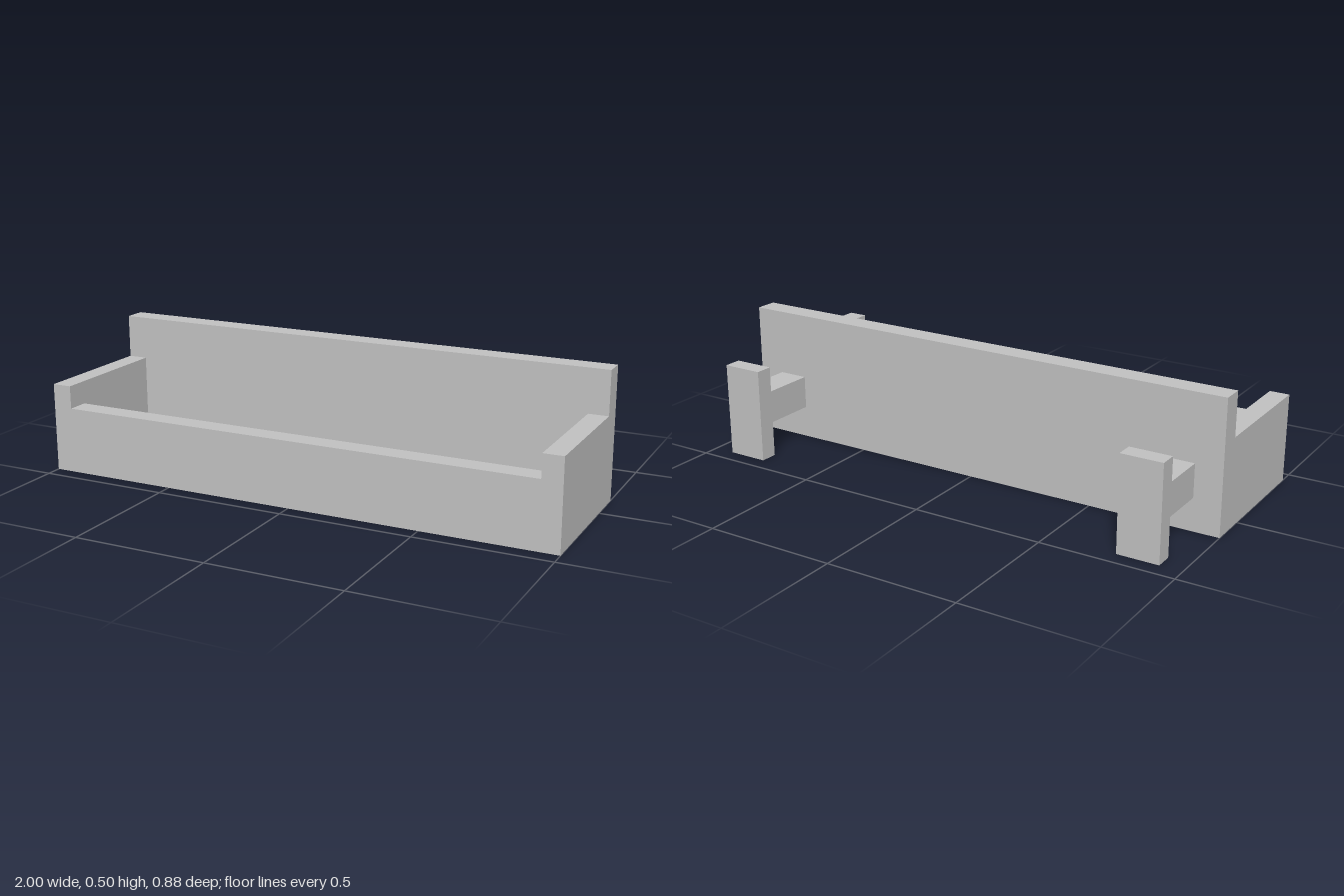
import * as THREE from 'three';

export function createModel() {
  const model = new THREE.Group();
  const grey = new THREE.MeshStandardMaterial({ color: 0xc2c2c2 });
  grey.name = 'lightGrey';

  // Box given by its extents on each axis
  function box(name, [x0, x1], [y0, y1], [z0, z1]) {
    const geometry = new THREE.BoxGeometry(x1 - x0, y1 - y0, z1 - z0);
    geometry.translate((x0 + x1) / 2, (y0 + y1) / 2, (z0 + z1) / 2);
    const mesh = new THREE.Mesh(geometry, grey);
    mesh.name = name;
    model.add(mesh);
  }

  const inner = 0.925, front = 0.44, lipBack = 0.358, wallFront = -0.063, wallBack = -0.147;

  // Open tray: floor, low front lip, tall back wall
  box('floor', [-inner, inner], [0, 0.08], [wallFront, lipBack]);
  box('frontLip', [-inner, inner], [0, 0.25], [lipBack, front]);
  box('backWall', [-1, 1], [0, 0.503], [wallBack, wallFront]);

  // Mirrored end walls and rear T-shaped hooks
  for (const [side, s] of [['left', 1], ['right', -1]]) {
    const span = (a, b) => (s > 0 ? [a, b] : [-b, -a]);
    box(side + 'EndWall', span(inner, 1), [0, 0.337], [wallFront, front]);
    box(side + 'HookArm', span(0.782, 0.897), [0.124, 0.25], [-0.373, wallBack]);
    box(side + 'HookPlate', span(0.76, 0.917), [0, 0.358], [-0.44, -0.373]);
  }
  return model;
}
